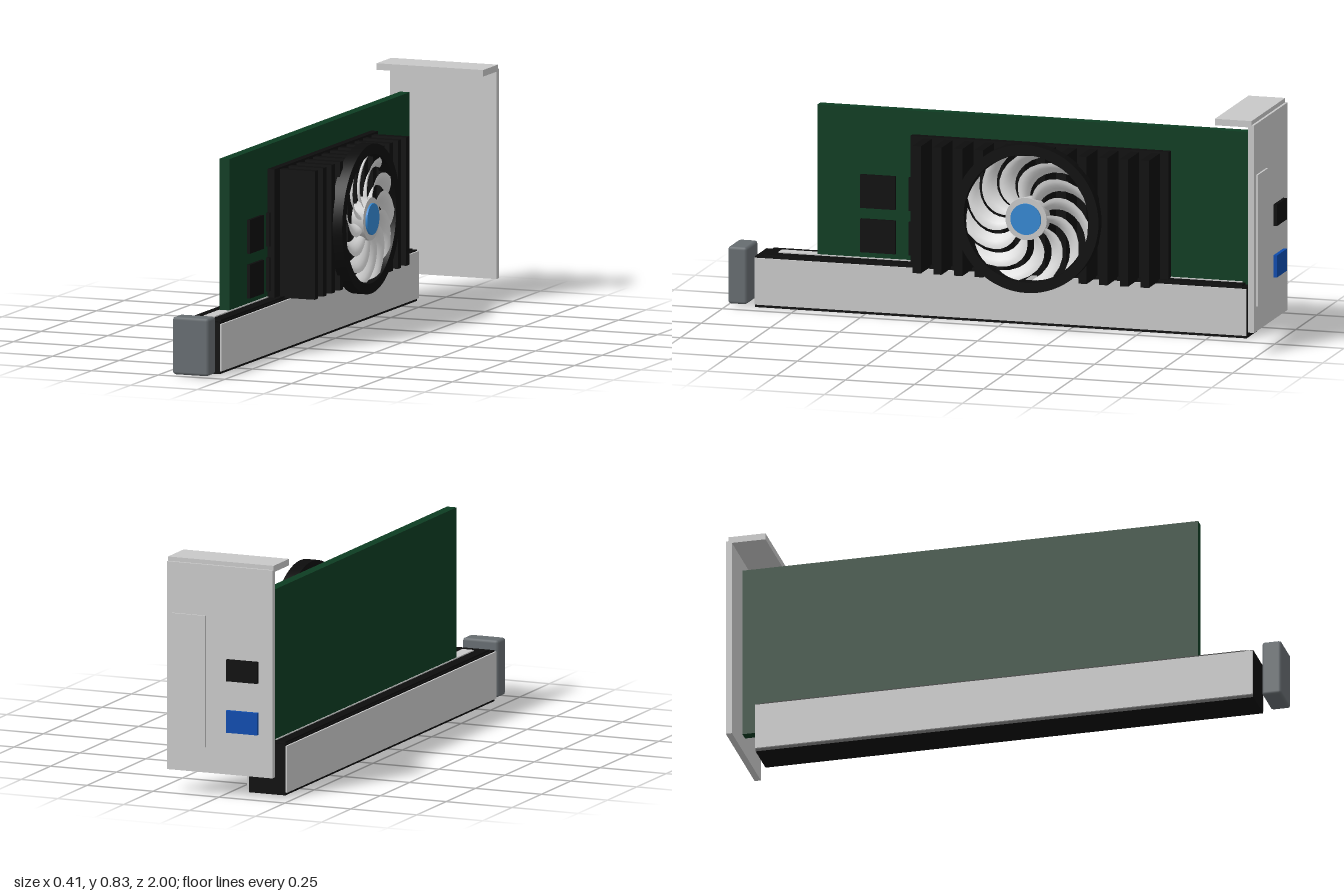
import * as THREE from 'three';
import { toCreasedNormals } from 'three/addons/utils/BufferGeometryUtils.js';
import { RoundedBoxGeometry } from 'three/addons/geometries/RoundedBoxGeometry.js';

const mat = (name, color, side = THREE.FrontSide) => {
  const m = new THREE.MeshStandardMaterial({ color, side });
  m.name = name;
  return m;
};

export function createModel() {
  const black = mat('black', 0x0c0c0c);
  const silver = mat('silver', 0xc8c8c8);
  const slate = mat('slate grey', 0x666c70);
  const green = mat('board green', 0x0d3c22);
  const white = mat('blade white', 0xdedede, THREE.DoubleSide);
  const skyBlue = mat('sky blue', 0x3486d0);
  const portBlue = mat('port blue', 0x0c4bad);

  const model = new THREE.Group();
  model.name = 'graphicsCard';

  const add = (parent, name, geometry, material) => {
    const mesh = new THREE.Mesh(geometry, material);
    mesh.name = name;
    parent.add(mesh);
    return mesh;
  };
  // Box given by its extents on each axis
  const box = (parent, name, material, [x0, x1], [y0, y1], [z0, z1], radius = 0) => {
    const size = [x1 - x0, y1 - y0, z1 - z0];
    const geometry = radius
      ? new RoundedBoxGeometry(...size, 1, radius)
      : new THREE.BoxGeometry(...size);
    const mesh = add(parent, name, geometry, material);
    mesh.position.set((x0 + x1) / 2, (y0 + y1) / 2, (z0 + z1) / 2);
    return mesh;
  };
  const group = (name) => {
    const g = new THREE.Group();
    g.name = name;
    model.add(g);
    return g;
  };

  // Slot with side plates, raised rim and contact strip
  const slot = group('slot');
  box(slot, 'slotBody', black, [-0.198, -0.06], [0, 0.18], [-0.88, 0.9]);
  box(slot, 'slotRim', black, [-0.19, -0.068], [0.18, 0.186], [-0.86, 0.87]);
  box(slot, 'contactStrip', silver, [-0.151, -0.108], [0.18, 0.19], [-0.85, 0.83]);
  box(slot, 'slotPlateRight', silver, [-0.205, -0.198], [0.01, 0.175], [-0.88, 0.9]);
  box(slot, 'slotPlateLeft', silver, [-0.06, -0.053], [0.01, 0.175], [-0.88, 0.9]);
  box(slot, 'slotLatch', slate, [-0.198, -0.062], [0.005, 0.207], [0.93, 1], 0.01);

  // Circuit board and memory chips
  const board = group('board');
  box(board, 'circuitBoard', green, [-0.148, -0.112], [0.095, 0.72], [-0.94, 0.69]);
  for (const z of [0.468, 0.293]) {
    for (const y of [0.268, 0.425]) {
      box(board, 'memoryChip', black, [-0.112, -0.1], [y - 0.059, y + 0.059], [z - 0.063, z + 0.063]);
    }
  }

  // Heat sink
  const sink = group('heatSink');
  box(sink, 'sinkBase', black, [-0.112, -0.085], [0.18, 0.636], [-0.59, 0.345]);
  for (let i = 0; i < 12; i++) {
    const z = -0.543 + i * 0.075;
    box(sink, 'sinkFin', black, [-0.085, 0.046], [0.18, 0.63], [z - 0.015, z + 0.015]);
  }

  // Fan, built facing local +z and turned to face +x
  const fan = group('fan');
  fan.position.set(0.037, 0.405, -0.125);
  fan.rotation.y = Math.PI / 2;
  const ring = new THREE.Shape().absarc(0, 0, 0.262, 0, Math.PI * 2, false);
  ring.holes.push(new THREE.Path().absarc(0, 0, 0.226, 0, Math.PI * 2, true));
  add(fan, 'fanRing', toCreasedNormals(
    new THREE.ExtrudeGeometry(ring, { depth: 0.045, bevelEnabled: false, curveSegments: 40 }), 0.6), black);
  const disc = (name, radius, z0, z1, material) => {
    const geometry = new THREE.CylinderGeometry(radius, radius, z1 - z0, 40).rotateX(Math.PI / 2);
    add(fan, name, geometry, material).position.z = (z0 + z1) / 2;
  };
  disc('fanHub', 0.075, 0.002, 0.046, silver);
  disc('hubCap', 0.055, 0.046, 0.053, skyBlue);
  const blade = bladeGeometry();
  for (let i = 0; i < 11; i++) {
    add(fan, 'fanBlade', blade, white).rotation.z = (i / 11) * Math.PI * 2;
  }

  // Mounting bracket with its ports
  const bracket = group('bracket');
  box(bracket, 'bracketPlate', silver, [-0.197, 0.203], [0.08, 0.815], [-0.987, -0.965]);
  box(bracket, 'bracketFlange', silver, [-0.197, 0.203], [0.807, 0.83], [-0.978, -0.845]);
  box(bracket, 'widePort', silver, [0.055, 0.182], [0.17, 0.635], [-0.994, -0.987]);
  box(bracket, 'blackPort', black, [-0.144, -0.026], [0.412, 0.488], [-1, -0.987]);
  box(bracket, 'bluePort', portBlue, [-0.144, -0.026], [0.23, 0.308], [-1, -0.987]);

  return model;
}

// Swept, pitched blade: a grid of points across radius and angle
function bladeGeometry() {
  const rows = 8, cols = 4, points = [], index = [];
  for (let i = 0; i <= rows; i++) {
    const t = i / rows;
    const r = 0.07 + 0.152 * t;
    const middle = -0.75 * t * t;
    const half = 0.19 + 0.02 * Math.sin(Math.PI * t);
    for (let j = 0; j <= cols; j++) {
      const s = (j / cols) * 2 - 1;
      const angle = middle + s * half;
      const z = 0.026 + s * 0.014 + 0.007 * (1 - s * s);
      points.push(r * Math.cos(angle), r * Math.sin(angle), z);
      if (i < rows && j < cols) {
        const a = i * (cols + 1) + j, b = a + cols + 1;
        index.push(a, b, b + 1, a, b + 1, a + 1);
      }
    }
  }
  const geometry = new THREE.BufferGeometry();
  geometry.setAttribute('position', new THREE.Float32BufferAttribute(points, 3));
  geometry.setIndex(index);
  geometry.computeVertexNormals();
  return geometry;
}
